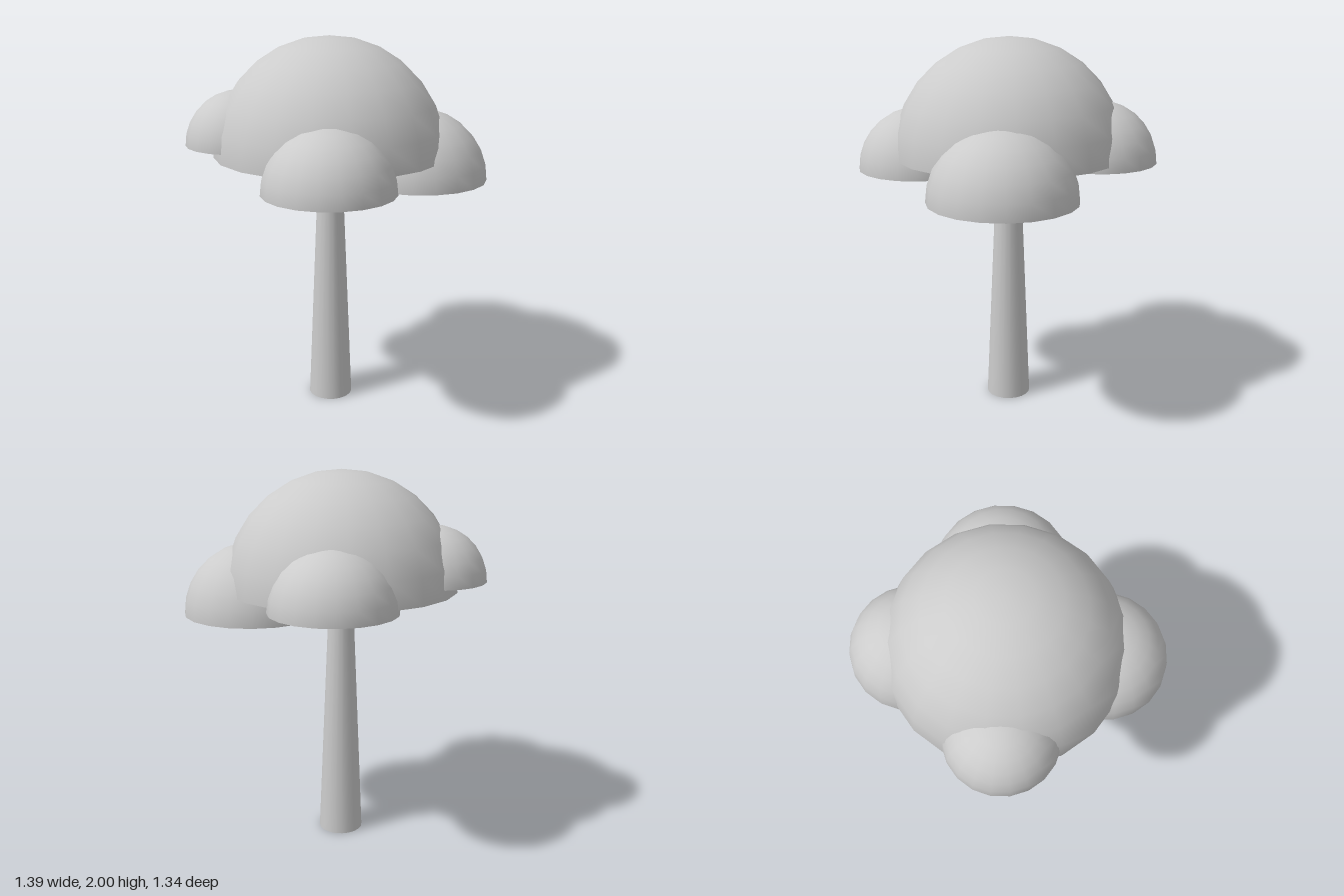
import * as THREE from 'three';

const SIDES = 20;

export function createModel() {
  const tree = new THREE.Group();
  tree.name = 'tree';

  const bark = new THREE.MeshStandardMaterial({ color: 0xcccccc });
  const leaf = new THREE.MeshStandardMaterial({ color: 0xcccccc, side: THREE.DoubleSide });

  // Tapered trunk, reaching up inside the canopy
  const trunkHeight = 1.44;
  const trunk = new THREE.Mesh(new THREE.CylinderGeometry(0.06, 0.12, trunkHeight, SIDES), bark);
  trunk.name = 'trunk';
  trunk.position.set(-0.02, trunkHeight / 2, -0.02);
  tree.add(trunk);

  // Open, hollow half-domes of foliage: name, radius, rim centre
  const domes = [
    ['mainCanopy', 0.61, -0.02, 1.39, -0.025],
    ['frontLeftCanopy', 0.375, 0.32, 1.25, 0.29],
    ['frontRightCanopy', 0.33, -0.37, 1.3, 0.31],
    ['backLeftCanopy', 0.32, 0.3, 1.36, -0.35],
    ['backRightCanopy', 0.285, -0.345, 1.44, -0.365],
  ];
  for (const [name, radius, x, y, z] of domes) {
    const dome = new THREE.Mesh(
      new THREE.SphereGeometry(radius, SIDES, 7, 0, Math.PI * 2, 0, Math.PI / 2),
      leaf
    );
    dome.name = name;
    dome.position.set(x, y, z);
    tree.add(dome);
  }

  return tree;
}
